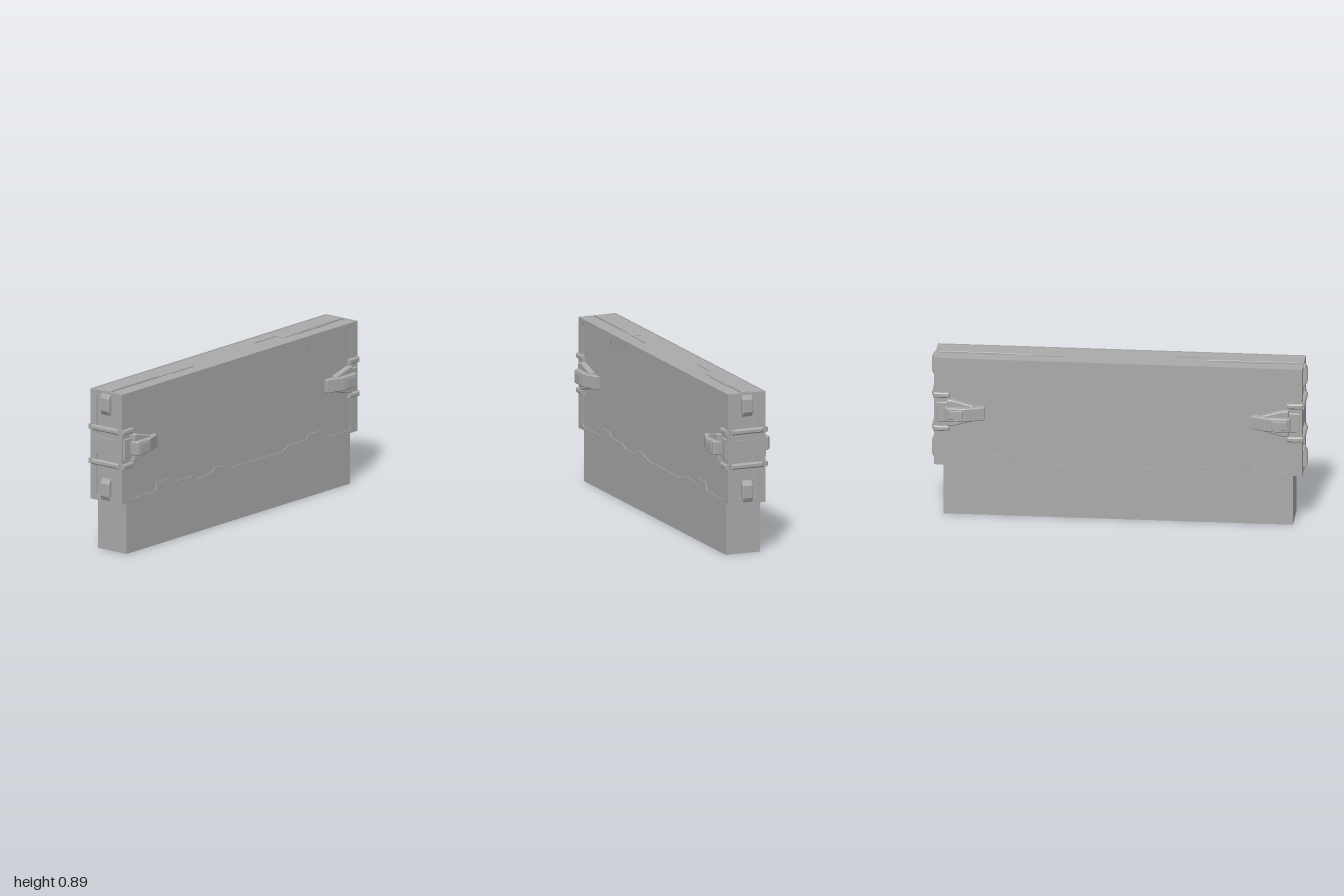
import * as THREE from 'three';

const grey = new THREE.MeshStandardMaterial({ color: 0xaaaaaa });
grey.name = 'plainGrey';

const MID = 0.583; // height of the shell's centre; shell parts are built around it

function add(parent, name, geometry, x = 0, y = 0, z = 0) {
  const mesh = new THREE.Mesh(geometry, grey);
  mesh.name = name;
  mesh.position.set(x, y, z);
  parent.add(mesh);
  return mesh;
}

const toPoints = pts => pts.map(([x, y]) => new THREE.Vector2(x, y));

// Extrude a profile, centred on its depth, with optional chamfer and holes
function prism(profile, depth, bevel = 0, holes = []) {
  const shape = new THREE.Shape(toPoints(profile));
  shape.holes = holes.map(h => new THREE.Path(toPoints(h)));
  const g = new THREE.ExtrudeGeometry(shape, {
    depth: depth - 2 * bevel, bevelEnabled: bevel > 0, bevelSegments: 1,
    bevelSize: bevel, bevelThickness: bevel, bevelOffset: -bevel,
  });
  return g.translate(0, 0, bevel - depth / 2);
}

const rect = (w, h) => [[-w / 2, -h / 2], [w / 2, -h / 2], [w / 2, h / 2], [-w / 2, h / 2]];

// Latch: two sloping arms, a hinge plate and a thick handle
function makeLatch() {
  const latch = new THREE.Group();
  latch.name = 'latch';
  for (const s of [1, -1]) {
    const arm = [[0.77, 0.03], [0.91, 0.03], [0.91, 0.073], [0.88, 0.073], [0.77, 0.042]];
    const pts = arm.map(([x, y]) => [x, y * s]);
    add(latch, 'latchArm', prism(pts, 0.034, 0.005), 0, 0, 0.119);
  }
  add(latch, 'hingePlate', prism(rect(0.07, 0.11), 0.014, 0.003), 0.935, 0, 0.111);
  const side = [[0.92, 0.105], [0.92, 0.152], [0.905, 0.164], [0.81, 0.164], [0.71, 0.128], [0.71, 0.105]];
  add(latch, 'latchHandle', prism(side, 0.074, 0.004).rotateX(Math.PI / 2));
  add(latch, 'handlePad', prism(rect(0.075, 0.05), 0.008, 0.002), 0.86, 0, 0.164);
  return latch;
}

// One end of the shell: panel frame, clips, bands and the latches beside it
function makeEnd() {
  const end = new THREE.Group();
  end.name = 'endCap';
  const panel = s => [[-0.067, 0.272], [0.067, 0.272], [0.067, 0.06], [0.058, 0.045], [-0.058, 0.045], [-0.067, 0.06]]
    .map(([z, y]) => [z, y * s]);
  add(end, 'endFrame', prism(rect(0.216, 0.605), 0.01, 0, [panel(1), panel(-1)]).rotateY(Math.PI / 2), 0.975);

  for (const s of [1, -1]) {
    const clip = [[0.965, 0.175], [0.985, 0.175], [1, 0.2], [1, 0.268], [0.988, 0.292], [0.965, 0.292]];
    add(end, 'endClip', prism(clip.map(([x, y]) => [x, y * s]), 0.06, 0.005));

    add(end, 'endBand', prism(rect(0.186, 0.029), 0.03, 0.007).rotateY(Math.PI / 2), 0.978, 0.094 * s);
    for (const f of [1, -1]) {
      add(end, 'sideBand', prism(rect(0.085, 0.028), 0.03, 0.006), 0.942, 0.094 * s, 0.108 * f);
    }

    // Tapered rail on the top and bottom edges
    const rail = [[0.46, 0.298], [0.965, 0.298], [0.965, 0.306], [0.95, 0.31], [0.64, 0.31], [0.46, 0.304]];
    add(end, 'edgeRail', prism(rail.map(([x, y]) => [x, y * s]), 0.05, 0.002));
    add(end, 'railStrip', new THREE.BoxGeometry(0.25, 0.006, 0.008), 0.695, 0.303 * s, 0.029);
    add(end, 'railTip', new THREE.BoxGeometry(0.18, 0.006, 0.008), 0.38, 0.302 * s, -0.026);
  }

  const front = makeLatch();
  const back = makeLatch();
  back.rotation.x = Math.PI;
  end.add(front, back);
  return end;
}

export function createModel() {
  const model = new THREE.Group();
  model.name = 'barrierWall';

  add(model, 'base', new THREE.BoxGeometry(1.86, 0.32, 0.198), 0, 0.16, 0);

  const shell = new THREE.Group();
  shell.name = 'shell';
  shell.position.y = MID;
  model.add(shell);
  add(shell, 'core', new THREE.BoxGeometry(1.945, 0.6, 0.207));

  // Shallow stepped border around each broad face
  const half = [[0.928, 0.165], [0.928, 0.27], [0.915, 0.283], [0.7, 0.283], [0.685, 0.238],
    [0.57, 0.238], [0.555, 0.264], [0.4, 0.264], [0.36, 0.287]];
  const flip = (sx, sy) => {
    const out = half.map(([x, y]) => [x * sx, y * sy]);
    return sx * sy < 0 ? out.reverse() : out;
  };
  const recess = [...flip(1, 1), ...flip(-1, 1), ...flip(-1, -1),
    [-0.24, -0.282], [-0.2, -0.255], [-0.04, -0.285], ...flip(1, -1)];
  const border = prism(rect(1.95, 0.605), 0.007, 0, [recess]);
  for (const s of [1, -1]) {
    const face = add(shell, 'faceBorder', border, 0, 0, 0.1045 * s);
    if (s < 0) face.rotation.y = Math.PI;
  }

  const left = makeEnd();
  const right = makeEnd();
  right.rotation.y = Math.PI;
  shell.add(left, right);
  return model;
}
